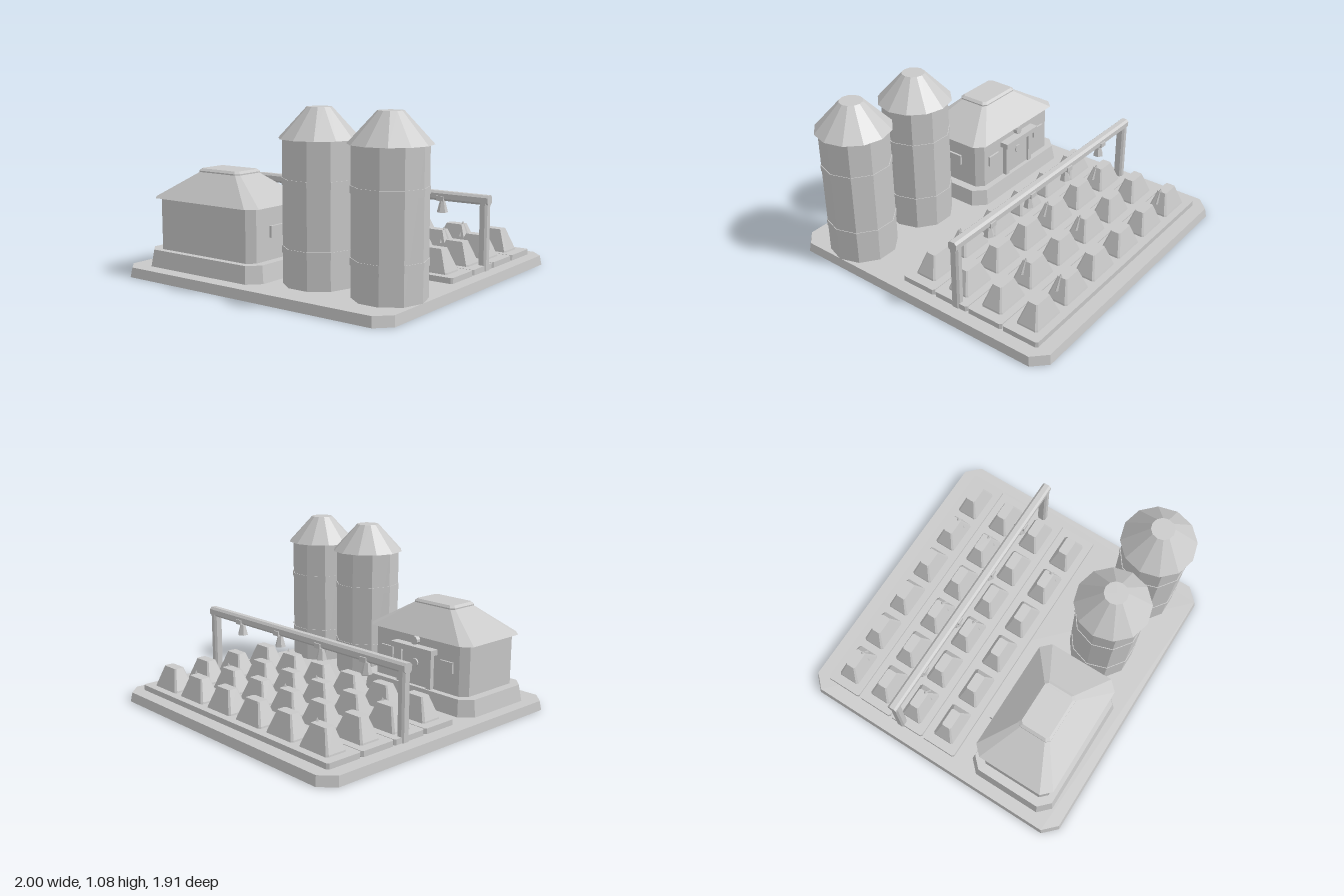
import * as THREE from 'three';

// Double sided because the base is an open shell
const grey = new THREE.MeshStandardMaterial({ color: 0xc8c8c8, flatShading: true, side: THREE.DoubleSide });
grey.name = 'plain grey';

// Stacked rectangles with cut corners; each level is [y, halfX, halfZ, cornerCut]
function loft(levels, openBottom = false) {
  const rings = levels.map(([y, a, b, c]) => [
    [a - c, b], [a, b - c], [a, c - b], [a - c, -b],
    [c - a, -b], [-a, c - b], [-a, b - c], [c - a, b],
  ].map(([x, z]) => [x, y, z]));
  const pos = [];
  const tri = (...pts) => pts.forEach((p) => pos.push(...p));
  for (let k = 0; k < rings.length - 1; k++) {
    const lo = rings[k], hi = rings[k + 1];
    for (let i = 0; i < 8; i++) {
      const j = (i + 1) % 8;
      tri(lo[i], lo[j], hi[j]);
      tri(lo[i], hi[j], hi[i]);
    }
  }
  const bottom = rings[0], top = rings[rings.length - 1];
  for (let i = 1; i < 7; i++) {
    tri(top[0], top[i], top[i + 1]);
    if (!openBottom) tri(bottom[0], bottom[i + 1], bottom[i]);
  }
  const g = new THREE.BufferGeometry();
  g.setAttribute('position', new THREE.Float32BufferAttribute(pos, 3));
  g.computeVertexNormals();
  return g;
}

function add(parent, name, geometry, x = 0, y = 0, z = 0) {
  const mesh = new THREE.Mesh(geometry, grey);
  mesh.name = name;
  mesh.position.set(x, y, z);
  parent.add(mesh);
  return mesh;
}

function group(parent, name, x = 0, y = 0, z = 0) {
  const g = new THREE.Group();
  g.name = name;
  g.position.set(x, y, z);
  parent.add(g);
  return g;
}

const box = (w, h, d) => new THREE.BoxGeometry(w, h, d);

function addHouse(root) {
  const house = group(root, 'house', -0.447, 0, 0.55);
  add(house, 'plinth', loft([[0.06, 0.465, 0.304, 0.075], [0.165, 0.448, 0.288, 0.07]]));
  add(house, 'walls', loft([[0.165, 0.39, 0.245, 0.045], [0.49, 0.39, 0.245, 0.045]]));
  add(house, 'roof', loft([[0.487, 0.425, 0.275, 0.06], [0.655, 0.155, 0.1, 0.02]]));
  add(house, 'roofCap', loft([[0.65, 0.168, 0.112, 0.022], [0.658, 0.168, 0.112, 0.022], [0.672, 0.15, 0.097, 0.018]]));

  // Back door with frame, lintel and round fittings
  add(house, 'door', box(0.22, 0.24, 0.02), 0, 0.28, -0.25);
  for (const s of [-1, 1]) {
    add(house, 'doorPost', box(0.035, 0.24, 0.04), s * 0.125, 0.28, -0.255);
    add(house, 'backWindow', box(0.1, 0.07, 0.016), s * 0.25, 0.335, -0.25);
  }
  add(house, 'lintel', box(0.34, 0.035, 0.07), 0, 0.408, -0.27);
  const disc = new THREE.CylinderGeometry(0.028, 0.028, 0.03, 10).rotateX(Math.PI / 2);
  add(house, 'doorPorthole', disc, 0, 0.31, -0.255);
  add(house, 'doorLamp', disc, 0, 0.455, -0.262);
  add(house, 'sideWindow', box(0.02, 0.07, 0.17), 0.395, 0.335, 0);
}

function addSilo(root, x, z) {
  const silo = group(root, 'silo', x, 0, z);
  const drum = (r, h) => new THREE.CylinderGeometry(r, r, h, 10, 1, false, Math.PI / 2);
  add(silo, 'siloBody', drum(0.213, 0.84), 0, 0.48, 0);
  for (const y of [0.262, 0.655]) add(silo, 'siloBand', drum(0.2175, 0.042), 0, y, 0);
  add(silo, 'siloRoof', new THREE.CylinderGeometry(0.073, 0.237, 0.178, 12), 0, 0.989, 0);
}

function addField(root) {
  const field = group(root, 'field');
  const bed = loft([[0.06, 0.897, 0.123, 0.012], [0.095, 0.897, 0.123, 0.012]]);
  const mound = loft([[0.09, 0.119, 0.075, 0.012], [0.105, 0.116, 0.071, 0.012], [0.235, 0.062, 0.033, 0.008]]);
  const sprout = new THREE.ConeGeometry(0.05, 0.1, 4);
  const sproutColumns = [[0, 4], [2, 4], [0, 2], [4]];
  for (let r = 0; r < 4; r++) {
    const z = -0.737 + r * 0.251;
    add(field, 'bed', bed, -0.005, 0, z);
    for (let c = 0; c < 6; c++) {
      const x = -0.724 + c * 0.2865;
      add(field, 'mound', mound, x, 0, z);
      if (sproutColumns[r].includes(c)) {
        add(field, 'sprout', sprout, x + 0.055, 0.207, z + 0.012);
      }
    }
  }
}

function addSprinkler(root) {
  const rig = group(root, 'sprinklerRig', -0.006, 0, -0.277);
  // Beam and posts share one square section with cut corners
  const beam = loft([[-0.91, 0.03, 0.03, 0.014], [0.91, 0.03, 0.03, 0.014]]);
  add(rig, 'beam', beam.rotateZ(Math.PI / 2), 0, 0.495, 0);
  const post = loft([[0.06, 0.026, 0.03, 0.012], [0.48, 0.026, 0.03, 0.012]]);
  for (const s of [-1, 1]) add(rig, 'post', post, s * 0.879, 0, 0);
  for (let i = 0; i < 4; i++) {
    const x = -0.587 + i * 0.39;
    add(rig, 'clamp', box(0.05, 0.03, 0.076), x, 0.48, 0);
    add(rig, 'nozzle', new THREE.CylinderGeometry(0.014, 0.035, 0.08, 6), x, 0.43, 0);
  }
}

export function createModel() {
  const root = new THREE.Group();
  root.name = 'farmstead';
  add(root, 'base', loft([[0, 0.991, 0.957, 0.085], [0.06, 0.983, 0.947, 0.085]], true), -0.009, 0, 0);
  addHouse(root);
  addSilo(root, 0.262, 0.563);
  addSilo(root, 0.763, 0.593);
  addField(root);
  addSprinkler(root);
  return root;
}
